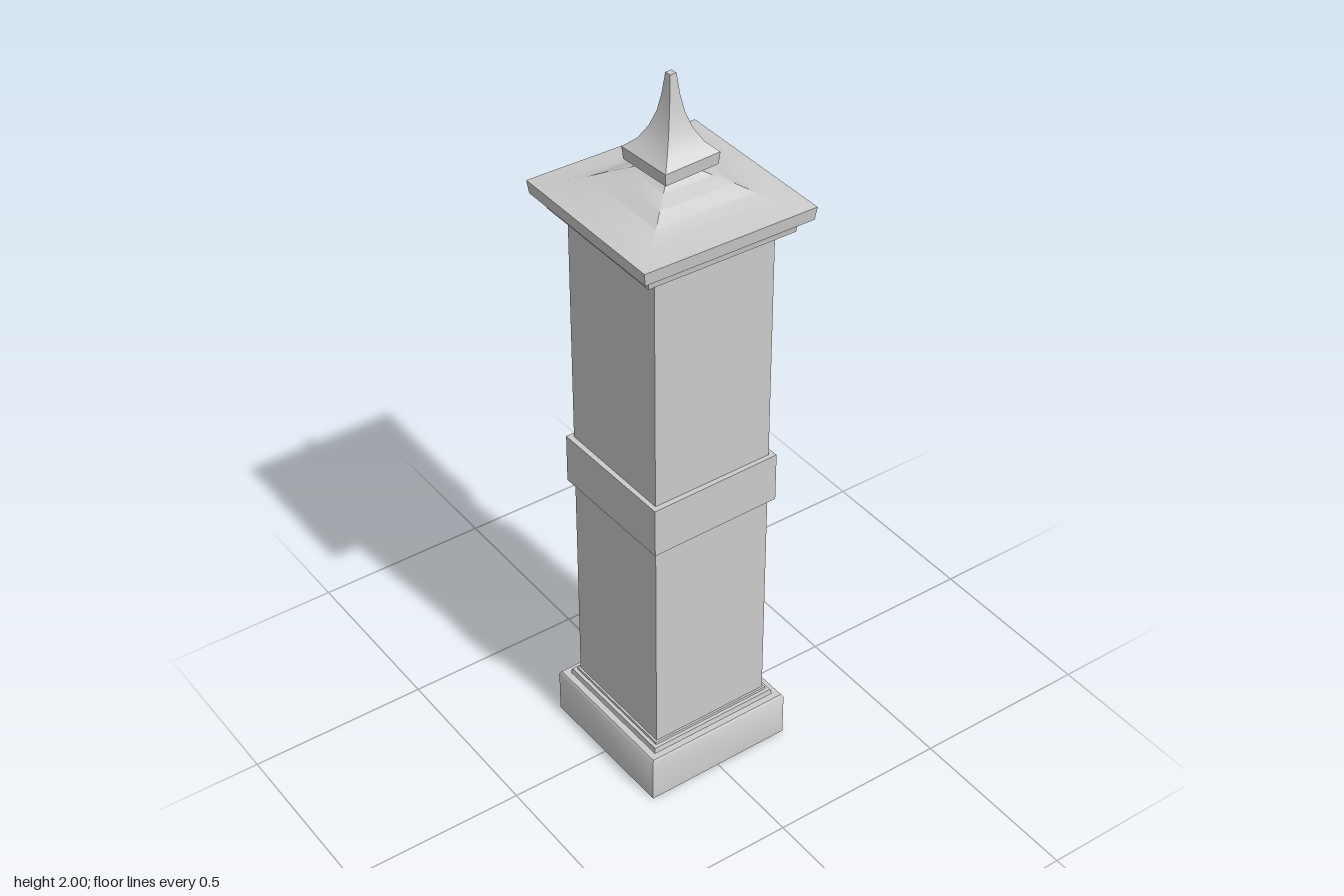
import * as THREE from 'three';
import { toCreasedNormals } from 'three/addons/utils/BufferGeometryUtils.js';

const material = new THREE.MeshStandardMaterial({ color: 0xcccccc, side: THREE.DoubleSide });

// Square shell from a profile of [half width, height], bottom to top, with a slight hand-set twist
function squareShell(name, profile, twist = 0) {
  const points = profile.map(([half, y]) => new THREE.Vector2(half * Math.SQRT2, y));
  const geometry = new THREE.LatheGeometry(points, 4, Math.PI / 4);
  geometry.deleteAttribute('normal');
  geometry.deleteAttribute('uv');
  const mesh = new THREE.Mesh(toCreasedNormals(geometry.toNonIndexed(), 0.6), material);
  mesh.name = name;
  mesh.rotation.y = twist;
  return mesh;
}

export function createModel() {
  const model = new THREE.Group();
  model.name = 'gatePillar';

  // Hollow plinth, open underneath, with a stepped moulding
  model.add(squareShell('plinth', [
    [0.216, 0], [0.216, 0.125], [0.211, 0.133], [0.193, 0.133],
    [0.190, 0.147], [0.180, 0.147], [0.180, 0.155], [0.172, 0.155],
  ], 0.012));

  // Shaft in two halves, joined by a raised band
  model.add(squareShell('lowerShaft', [[0.174, 0.155], [0.174, 0.80]], 0.012));
  model.add(squareShell('middleBand', [
    [0.172, 0.80], [0.188, 0.80], [0.188, 0.94], [0.172, 0.94],
  ], 0.02));
  model.add(squareShell('upperShaft', [[0.174, 0.94], [0.174, 1.61]], 0.012));

  // Two-step cornice under the roof
  model.add(squareShell('cornice', [
    [0.172, 1.607], [0.209, 1.607], [0.212, 1.637], [0.217, 1.645],
    [0.239, 1.645], [0.243, 1.68],
  ], -0.007));

  // Concave roof rising to a narrow neck
  model.add(squareShell('roof', [
    [0.243, 1.68], [0.18, 1.69], [0.14, 1.705], [0.105, 1.724],
    [0.07, 1.74], [0.045, 1.753], [0.034, 1.767],
  ], -0.007));

  // Flared finial with a slim blunt tip
  model.add(squareShell('finial', [
    [0.034, 1.767], [0.078, 1.767], [0.081, 1.80], [0.055, 1.825],
    [0.036, 1.86], [0.023, 1.90], [0.015, 1.945], [0.009, 2.0], [0, 2.0],
  ], 0.06));

  return model;
}
